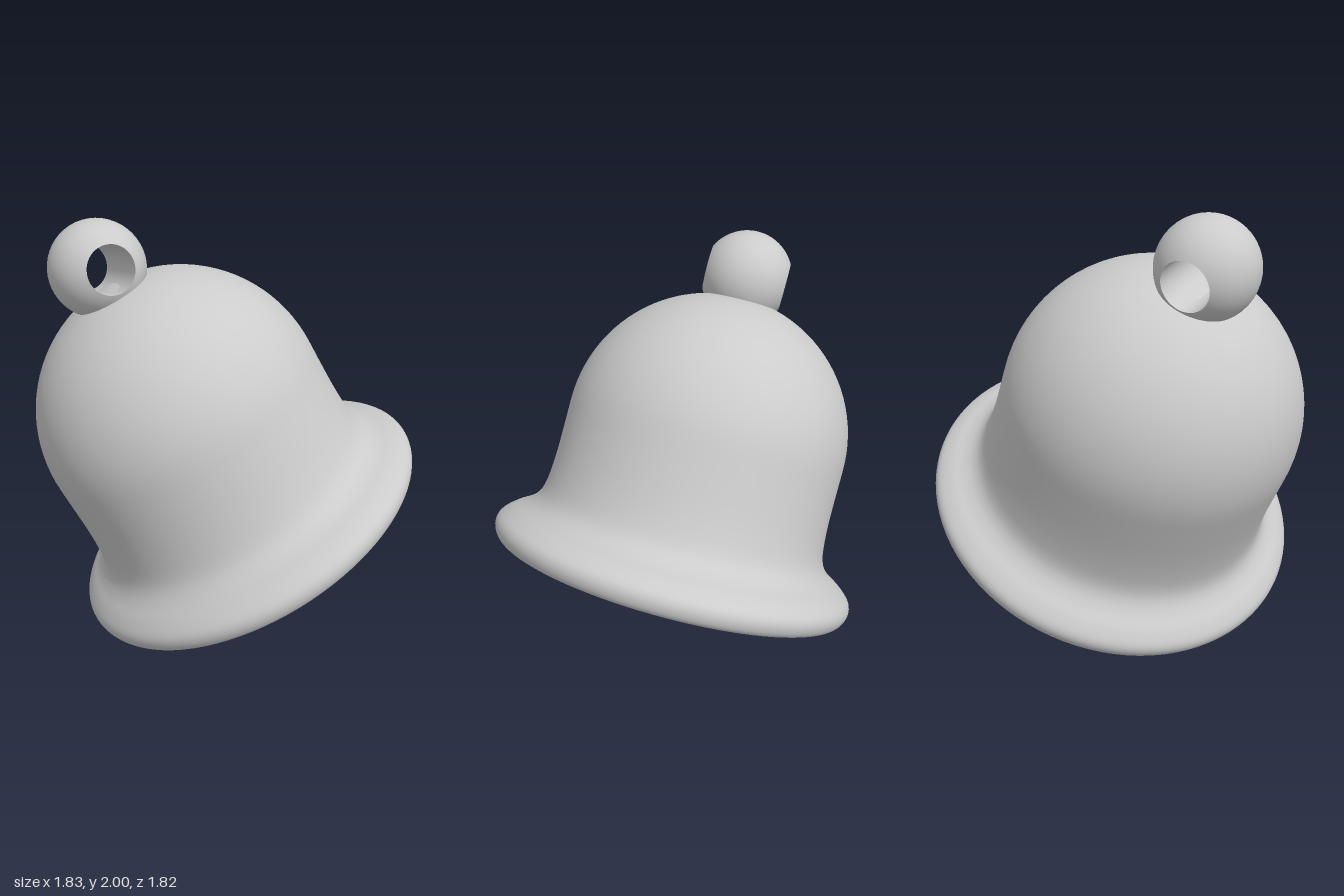
import * as THREE from 'three';

const material = new THREE.MeshStandardMaterial({ color: 0xcccccc });

function addPart(parent, name, geometry) {
  const mesh = new THREE.Mesh(geometry, material);
  mesh.name = name;
  parent.add(mesh);
  return mesh;
}

// Points on a circular arc around (0, cy); angle measured from the equator
function arc(radius, cy, from, to, steps) {
  return Array.from({ length: steps + 1 }, (_, i) => {
    const a = from + ((to - from) * i) / steps;
    return new THREE.Vector2(Math.max(0, radius * Math.cos(a)), cy + radius * Math.sin(a));
  });
}

const spline = (pairs, n) =>
  new THREE.SplineCurve(pairs.map(([r, y]) => new THREE.Vector2(r, y))).getPoints(n);

export function createModel() {
  const model = new THREE.Group();
  model.name = 'bell';

  // Tilted frame: local y is the bell axis, local z runs through the loop hole
  const up = new THREE.Vector3(-0.437, 0.885, -0.158).normalize();
  const side = new THREE.Vector3().crossVectors(up, new THREE.Vector3(0.06, 0.2, 0.98)).normalize();
  const front = new THREE.Vector3().crossVectors(side, up);
  const tilted = new THREE.Group();
  tilted.name = 'tiltedBell';
  tilted.quaternion.setFromRotationMatrix(new THREE.Matrix4().makeBasis(side, up, front));
  tilted.position.set(0.08, 0.47, 0);
  model.add(tilted);

  // Shell: down the thick inside wall, around the flared lip, up the outside
  const wall = spline([
    [0.58, 0.6], [0.578, 0.36], [0.588, 0.2], [0.615, 0.1], [0.665, 0.03], [0.74, -0.025],
    [0.81, -0.062], [0.86, -0.08], [0.898, -0.06], [0.918, -0.015], [0.908, 0.03],
    [0.86, 0.075], [0.8, 0.112], [0.757, 0.15], [0.73, 0.2], [0.715, 0.28], [0.706, 0.42],
    [0.703, 0.66],
  ], 96);
  const profile = [
    ...arc(0.58, 0.6, Math.PI / 2, 0, 20).slice(0, -1),
    ...wall,
    ...arc(0.703, 0.66, 0, Math.PI / 2, 24).slice(1),
  ];
  addPart(tilted, 'bellShell', new THREE.LatheGeometry(profile, 96));

  // Clapper ball in the mouth
  addPart(tilted, 'clapper', new THREE.SphereGeometry(0.337, 48, 32)).position.y = 0.075;

  // Hanging loop: a ball with a straight hole drilled through it
  const loop = new THREE.Group();
  loop.name = 'hangingLoop';
  loop.position.set(0, 1.466, 0.012);
  loop.rotation.x = Math.PI / 2;
  tilted.add(loop);
  const radius = 0.226, hole = 0.112;
  const edge = Math.acos(hole / radius), half = radius * Math.sin(edge);
  addPart(loop, 'loopBall', new THREE.LatheGeometry(arc(radius, 0, -edge, edge, 28), 48));
  addPart(loop, 'loopHole', new THREE.LatheGeometry(
    [new THREE.Vector2(hole, half), new THREE.Vector2(hole, -half)], 48));

  return model;
}
